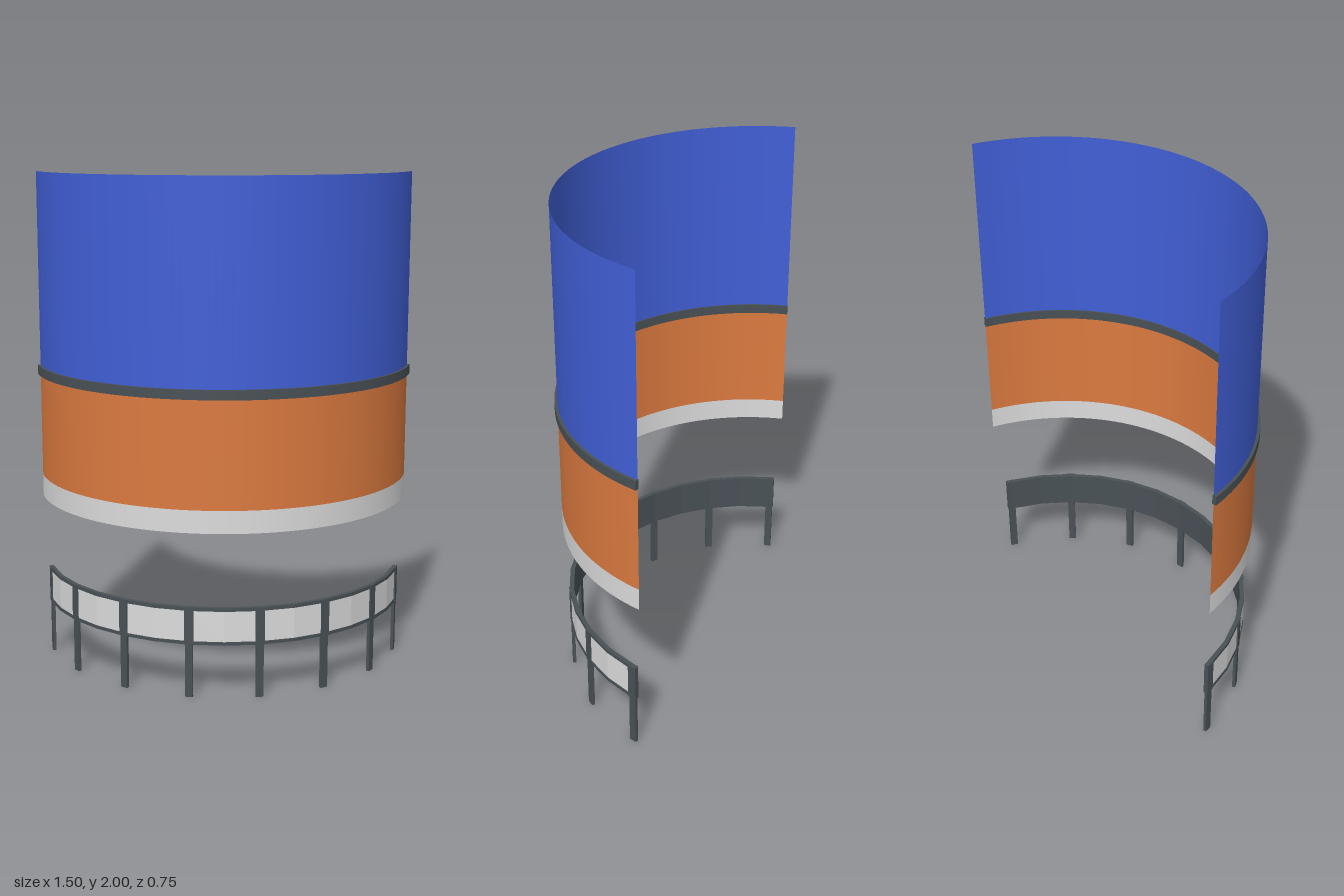
import * as THREE from 'three';

const CX = -0.03, CZ = -0.404;             // shared centre of every arc
const rad = THREE.MathUtils.degToRad;

const mat = (name, color, side = THREE.FrontSide) => {
  const m = new THREE.MeshStandardMaterial({ color, side });
  m.name = name;
  return m;
};

// Solid curved bar: angles in degrees from +x towards +z
function arcBar(name, material, rIn, rOut, y0, y1, a0, a1, segments) {
  const s = new THREE.Shape();
  s.absarc(0, 0, rOut, rad(a0), rad(a1), false);
  s.absarc(0, 0, rIn, rad(a1), rad(a0), true);
  const g = new THREE.ExtrudeGeometry(s, { depth: y1 - y0, bevelEnabled: false, curveSegments: segments / 2 });
  g.rotateX(Math.PI / 2);
  g.translate(0, y1, 0);
  const mesh = new THREE.Mesh(g, material);
  mesh.name = name;
  return mesh;
}

// Thin curved sheet
function arcSheet(name, material, r, y0, y1, a0, a1) {
  const g = new THREE.CylinderGeometry(r, r, y1 - y0, 64, 1, true, rad(90 - a1), rad(a1 - a0));
  g.translate(0, (y0 + y1) / 2, 0);
  const mesh = new THREE.Mesh(g, material);
  mesh.name = name;
  return mesh;
}

// Upright box set on the arc, facing outwards
function arcBox(name, material, r, angle, width, depth, y0, y1) {
  const mesh = new THREE.Mesh(new THREE.BoxGeometry(width, y1 - y0, depth), material);
  const a = rad(angle);
  mesh.position.set(r * Math.cos(a), (y0 + y1) / 2, r * Math.sin(a));
  mesh.rotation.y = Math.PI / 2 - a;
  mesh.name = name;
  return mesh;
}

export function createModel() {
  const blue = mat('blue', 0x415fd6, THREE.DoubleSide);
  const orange = mat('orange', 0xdb7a3f, THREE.DoubleSide);
  const paleGrey = mat('paleGrey', 0xdcdcdc, THREE.DoubleSide);
  const darkGrey = mat('darkGrey', 0x495156);

  const model = new THREE.Group();
  model.name = 'curvedWallAndBarrier';

  // Tall curved wall with a trim band
  const wall = new THREE.Group();
  wall.name = 'wall';
  const W0 = 2.1, W1 = 157;
  wall.add(
    arcSheet('wallBase', paleGrey, 0.771, 0.665, 0.755, W0, W1),
    arcSheet('lowerWall', orange, 0.771, 0.755, 1.2, W0, W1),
    arcSheet('upperWall', blue, 0.771, 1.2, 2, W0, W1),
    arcBar('trimBand', darkGrey, 0.765, 0.782, 1.18, 1.218, W0, W1, 64)
  );

  // Low barrier: seven bays between eight posts
  const barrier = new THREE.Group();
  barrier.name = 'barrier';
  const FIRST = 6.2, STEP = 21.1, BAYS = 7;
  for (let i = 0; i <= BAYS; i++) {
    const a = FIRST + i * STEP;
    barrier.add(
      arcBox('leg', darkGrey, 0.747, a, 0.03, 0.013, 0, 0.216),
      arcBox('upright', darkGrey, 0.747, a, 0.036, 0.018, 0.215, 0.365)
    );
    if (i === BAYS) continue;
    const b = a + STEP;
    barrier.add(
      arcBar('backBoard', darkGrey, 0.737, 0.747, 0.216, 0.364, a, b, 2),
      arcBar('panel', paleGrey, 0.747, 0.752, 0.226, 0.352, a, b, 2),
      arcBar('topRail', darkGrey, 0.738, 0.755, 0.351, 0.365, a, b, 2),
      arcBar('bottomRail', darkGrey, 0.738, 0.755, 0.215, 0.228, a, b, 2)
    );
  }

  for (const part of [wall, barrier]) {
    part.position.set(CX, 0, CZ);
    model.add(part);
  }
  return model;
}
